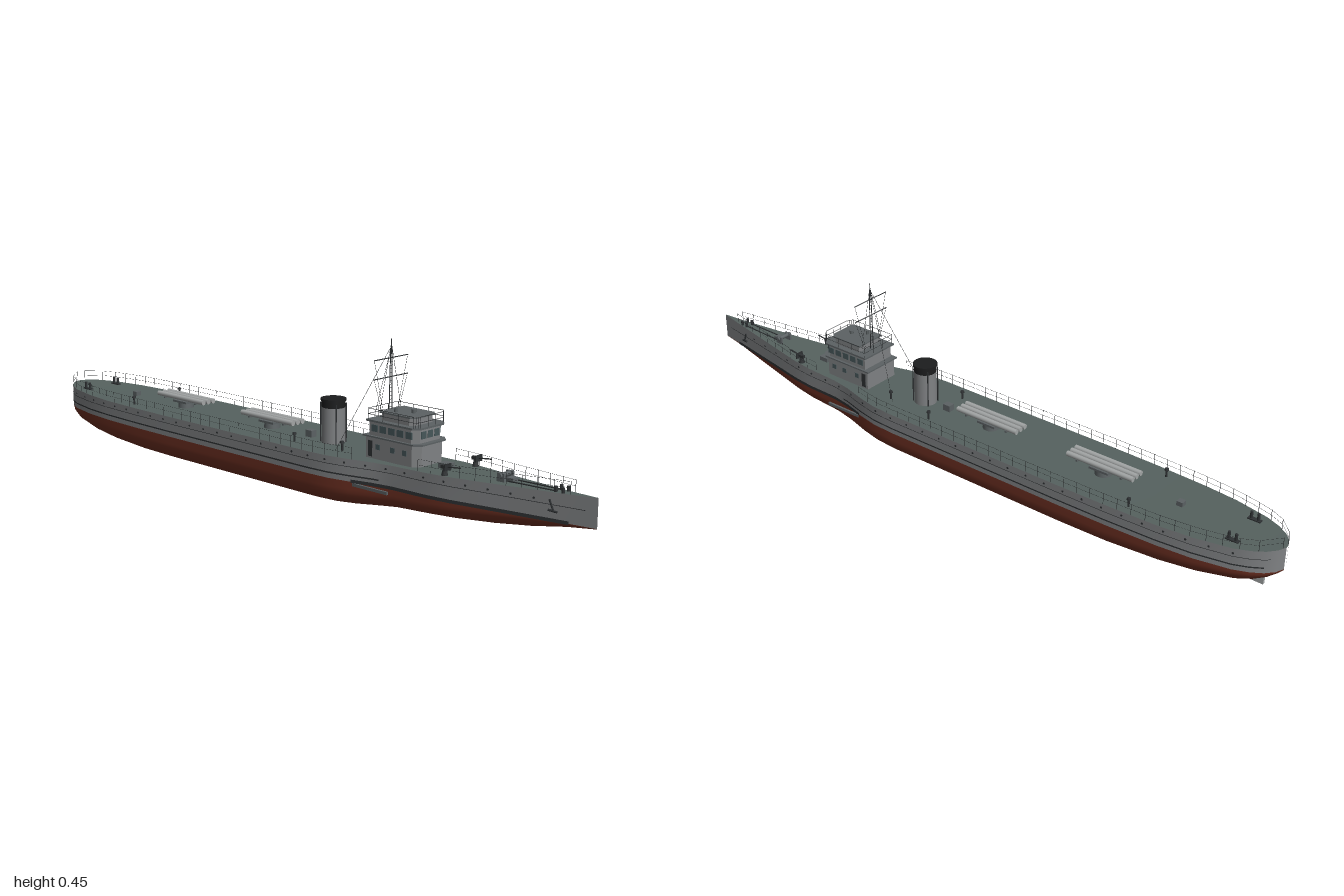
import * as THREE from 'three';
import { mergeGeometries } from 'three/addons/utils/BufferGeometryUtils.js';

const mat = (name, color, side = THREE.FrontSide) => {
  const m = new THREE.MeshStandardMaterial({ color, side });
  m.name = name;
  return m;
};

// Hull stations: x, half beam, keel height, deck height, fullness of the section
const STATIONS = [
  [-1, 0.004, 0.076, 0.145, 2], [-0.99, 0.028, 0.068, 0.145, 2], [-0.97, 0.05, 0.052, 0.144, 2],
  [-0.94, 0.069, 0.037, 0.143, 2.1], [-0.9, 0.086, 0.025, 0.142, 2.2], [-0.8, 0.107, 0.011, 0.141, 2.5],
  [-0.7, 0.117, 0.005, 0.14, 2.9], [-0.55, 0.123, 0.001, 0.14, 3.4], [-0.4, 0.125, 0, 0.14, 3.5],
  [0.18, 0.125, 0, 0.14, 3.5], [0.25, 0.121, 0.002, 0.14, 3.5], [0.31, 0.109, 0.007, 0.14, 3.6],
  [0.38, 0.09, 0.015, 0.14, 3.8], [0.44, 0.08, 0.022, 0.14, 4], [0.55, 0.077, 0.027, 0.142, 3.6],
  [0.62, 0.069, 0.029, 0.143, 3], [0.72, 0.05, 0.036, 0.145, 2.4], [0.82, 0.032, 0.049, 0.148, 2],
  [0.92, 0.014, 0.068, 0.151, 1.8], [1, 0.0005, 0.079, 0.155, 1.8],
];
const WATER = 0.08;

function station(x) {
  let i = 1;
  while (i < STATIONS.length - 1 && STATIONS[i][0] < x) i++;
  const a = STATIONS[i - 1], b = STATIONS[i];
  const t = THREE.MathUtils.clamp((x - a[0]) / (b[0] - a[0]), 0, 1);
  const [, w, keel, deck, n] = a.map((v, k) => v + (b[k] - v) * t);
  return { w, keel, deck, n };
}

// Skin over cross-sections; section(x) returns [z, y] points
function loft(section, x0 = -1, x1 = 1) {
  const xs = [x0, ...STATIONS.map((s) => s[0]).filter((x) => x > x0 && x < x1), x1];
  const pos = [], index = [];
  let n = 0;
  xs.forEach((x, i) => {
    const pts = section(x);
    n = pts.length;
    pts.forEach(([z, y]) => pos.push(x, y, z));
    if (i) for (let j = 0; j < n - 1; j++) {
      const a = (i - 1) * n + j, b = i * n + j;
      index.push(a, a + 1, b, b, a + 1, b + 1);
    }
  });
  const g = new THREE.BufferGeometry();
  g.setAttribute('position', new THREE.Float32BufferAttribute(pos, 3));
  g.setIndex(index);
  g.computeVertexNormals();
  return g;
}

function rodGeo(a, b, r, sides = 5) {
  const A = new THREE.Vector3(...a), d = new THREE.Vector3(...b).sub(A);
  const g = new THREE.CylinderGeometry(r, r, d.length(), sides);
  g.applyQuaternion(new THREE.Quaternion().setFromUnitVectors(new THREE.Vector3(0, 1, 0), d.clone().normalize()));
  return g.translate(...A.addScaledVector(d, 0.5).toArray());
}
const boxGeo = (x, y, z, w, h, d) => new THREE.BoxGeometry(w, h, d).translate(x, y, z);
const cylGeo = (x, y, z, r0, r1, h, s = 16) => new THREE.CylinderGeometry(r1, r0, h, s).translate(x, y + h / 2, z);

export function createModel() {
  const ship = new THREE.Group();
  ship.name = 'ship';
  const grey = mat('hull grey', 0x808284), red = mat('bottom red', 0x6e3022), deckM = mat('deck green grey', 0x56625f);
  const dark = mat('dark metal', 0x2e3133), glass = mat('window glass', 0x46575a), light = mat('light grey', 0xa3a6a6);
  const mid = mat('fittings grey', 0x5c6264), black = mat('funnel black', 0x1c1d1e);
  const add = (name, material, ...geos) => {
    const mesh = new THREE.Mesh(geos.length > 1 ? mergeGeometries(geos) : geos[0], material);
    mesh.name = name;
    ship.add(mesh);
    return mesh;
  };
  const sides = [1, -1];

  // Hull shell and deck
  add('hullBottom', red, loft((x) => {
    const { w, keel, n } = station(x), pts = [];
    for (let j = 0; j <= 28; j++) {
      const a = (j / 28) * Math.PI, c = Math.cos(a), e = 2 / n;
      pts.push([w * Math.sign(c) * Math.abs(c) ** e, WATER - (WATER - keel) * Math.abs(Math.sin(a)) ** e]);
    }
    return pts;
  }));
  // Strip on one side of the hull, standing off slightly
  const strip = (s, y0, y1, off) => (x) => {
    const { w, deck } = station(x);
    const p = [[s * (w + off), Math.min(y1, deck)], [s * (w + off), y0]];
    return s > 0 ? p : p.reverse();
  };
  add('hullSides', grey, ...sides.map((s) => loft(strip(s, WATER, 1, 0))));
  add('deck', deckM, loft((x) => { const { w, deck } = station(x); return [[-w, deck], [w, deck]]; }));
  add('rubbingStrakes', dark, ...sides.flatMap((s) => [
    loft(strip(s, 0.094, 0.098, 0.0015), -0.97, 0.4), loft(strip(s, 0.119, 0.1205, 0.0012), -0.98, 0.97)]));
  add('bootStripe', dark, ...sides.map((s) => loft(strip(s, 0.077, 0.086, 0.0012), 0.32, 0.93)));

  // Portholes along the sides
  const holes = [];
  for (let x = -0.9; x < 0.85; x += 0.06) for (const s of sides) {
    const slope = Math.atan2(station(x + 0.01).w - station(x - 0.01).w, 0.02);
    holes.push(new THREE.CylinderGeometry(0.003, 0.003, 0.003, 8).rotateX(Math.PI / 2)
      .rotateY(-s * slope).translate(x, 0.129, s * station(x).w));
  }
  add('portholes', dark, ...holes);

  // Projecting fins at the hull shoulder, rudder, propeller shafts
  add('shoulderFins', mid, ...sides.map((s) => boxGeo(0.385, 0.073, s * 0.104, 0.12, 0.008, 0.006)));
  add('rudder', light, boxGeo(-0.913, 0.027, 0, 0.075, 0.034, 0.008));

  // Deck railings: posts and two wires on each side
  const rails = [];
  const railing = (x0, x1, count) => sides.forEach((s) => {
    let last = null;
    for (let i = 0; i <= count; i++) {
      const x = x0 + ((x1 - x0) * i) / count, { w, deck } = station(x);
      const z = s * Math.max(w - 0.002, 0.001);
      rails.push(rodGeo([x, deck, z], [x, deck + 0.032, z], 0.0007, 4));
      if (last) for (const h of [0.016, 0.031])
        rails.push(rodGeo([last[0], last[1] + h, last[2]], [x, deck + h, z], 0.0004, 3));
      last = [x, deck, z];
    }
  });
  railing(-0.995, 0.32, 32);
  railing(0.52, 0.93, 10);
  add('deckRailings', dark, ...rails);

  // Bridge house
  const house = (x0, x1, y0, y1, half, r) => {
    const s = new THREE.Shape();
    s.moveTo(x0, -half).lineTo(x1 - r, -half).lineTo(x1, -half + r).lineTo(x1, half - r).lineTo(x1 - r, half).lineTo(x0, half);
    return new THREE.ExtrudeGeometry(s, { depth: y1 - y0, bevelEnabled: false }).rotateX(-Math.PI / 2).translate(0, y0, 0);
  };
  add('bridgeHouse', grey, house(0.328, 0.502, 0.138, 0.197, 0.058, 0.018), house(0.338, 0.495, 0.2, 0.238, 0.056, 0.016),
    house(0.37, 0.475, 0.243, 0.262, 0.045, 0.012));
  add('bridgeDecks', mid, house(0.32, 0.51, 0.197, 0.201, 0.063, 0.018), house(0.33, 0.503, 0.238, 0.243, 0.062, 0.016),
    house(0.365, 0.48, 0.262, 0.266, 0.048, 0.012));
  const panes = [-0.026, 0, 0.026].map((z) => boxGeo(0.495, 0.221, z, 0.003, 0.019, 0.019));
  for (const s of sides) {
    for (let i = 0; i < 5; i++) panes.push(boxGeo(0.356 + i * 0.029, 0.221, s * 0.056, 0.021, 0.018, 0.003));
    for (const x of [0.37, 0.42, 0.46]) panes.push(boxGeo(x, 0.173, s * 0.058, 0.014, 0.014, 0.003));
  }
  add('bridgeWindows', glass, ...panes);
  add('bridgeDoors', dark, ...sides.map((s) => boxGeo(0.343, 0.166, s * 0.058, 0.014, 0.042, 0.003)));
  // Guard rail around the bridge roof
  const corner = [[0.335, -0.059], [0.49, -0.059], [0.5, -0.045], [0.5, 0.045], [0.49, 0.059], [0.335, 0.059]];
  const guard = [];
  corner.forEach(([x, z], i) => {
    const [x2, z2] = corner[(i + 1) % 6];
    for (let k = 0; k < 3; k++) {
      const px = x + ((x2 - x) * k) / 3, pz = z + ((z2 - z) * k) / 3;
      guard.push(rodGeo([px, 0.242, pz], [px, 0.272, pz], 0.0008, 4));
    }
    for (const y of [0.257, 0.272]) guard.push(rodGeo([x, y, z], [x2, y, z2], 0.0007, 4));
  });
  add('bridgeRailing', dark, ...guard);
  add('searchlight', mid, cylGeo(0.44, 0.266, 0, 0.006, 0.006, 0.01, 10), cylGeo(0.4, 0.266, 0.025, 0.004, 0.004, 0.012, 8));

  // Ladder mast, yards and rigging
  const mast = [rodGeo([0.36, 0.41, 0], [0.36, 0.45, 0], 0.0012)];
  for (const s of sides) mast.push(rodGeo([0.36, 0.2, s * 0.0065], [0.36, 0.425, s * 0.003], 0.0013));
  for (let y = 0.25; y < 0.42; y += 0.01) mast.push(rodGeo([0.36, y, -0.006], [0.36, y, 0.006], 0.0007, 4));
  for (const y of [0.35, 0.4]) mast.push(rodGeo([0.36, y, -0.066], [0.36, y, 0.066], 0.0014));
  add('mast', dark, ...mast);
  add('rigging', dark, ...sides.flatMap((s) => [
    rodGeo([0.36, 0.44, 0], [0.36, 0.262, s * 0.042], 0.0006, 3),
    rodGeo([0.36, 0.4, s * 0.065], [0.36, 0.25, s * 0.026], 0.0005, 3),
    rodGeo([0.36, 0.35, s * 0.065], [0.36, 0.25, s * 0.03], 0.0005, 3),
    rodGeo([0.36, 0.43, 0], [0.225, 0.14, s * 0.065], 0.0006, 3)]));

  // Funnel with cap, bands and steam pipes
  add('funnel', grey, cylGeo(0.155, 0.138, 0, 0.033, 0.032, 0.1, 24));
  add('funnelTop', black, cylGeo(0.155, 0.238, 0, 0.032, 0.032, 0.018, 24), cylGeo(0.155, 0.256, 0, 0.035, 0.035, 0.006, 24));
  add('funnelPipes', dark, ...[0.6, 2.5, 3.8, 5.6].map((a) => {
    const x = 0.155 + 0.035 * Math.cos(a), z = 0.035 * Math.sin(a);
    return rodGeo([x, 0.14, z], [x, 0.25, z], 0.0018, 6);
  }));

  // Triple torpedo tube mounts
  for (const x of [-0.462, -0.085]) {
    add('tubeMount', mid, cylGeo(x, 0.139, 0, 0.024, 0.022, 0.018, 20), boxGeo(x, 0.159, 0, 0.06, 0.006, 0.052),
      ...[-0.07, 0.07].map((d) => boxGeo(x + d, 0.163, 0, 0.006, 0.005, 0.052)));
    add('torpedoTubes', light, ...[-0.019, 0, 0.019].map((z) => rodGeo([x - 0.104, 0.171, z], [x + 0.104, 0.171, z], 0.0075, 12)));
  }

  // Forward light guns
  for (const s of sides) {
    const z = s * 0.062, y = 0.142;
    add('gun', dark, cylGeo(0.595, y, z, 0.009, 0.005, 0.018, 10), boxGeo(0.595, y + 0.022, z, 0.02, 0.009, 0.009),
      rodGeo([0.6, y + 0.023, z], [0.645, y + 0.028, z], 0.0018, 6),
      boxGeo(0.604, y + 0.023, z, 0.003, 0.017, 0.026));
  }

  // Windlass, chains, jackstaff and anchors
  add('windlass', mid, rodGeo([0.735, 0.161, -0.026], [0.735, 0.161, 0.026], 0.006, 12),
    ...sides.map((s) => boxGeo(0.735, 0.155, s * 0.018, 0.022, 0.024, 0.006)), boxGeo(0.755, 0.15, 0, 0.02, 0.014, 0.022));
  add('anchorChains', dark, ...sides.map((s) => rodGeo([0.75, 0.149, s * 0.012], [0.89, 0.152, s * 0.01], 0.0018)));
  add('anchors', dark, ...sides.flatMap((s) => [
    rodGeo([0.882, 0.133, s * 0.025], [0.892, 0.107, s * 0.023], 0.0025, 6),
    rodGeo([0.88, 0.107, s * 0.026], [0.902, 0.104, s * 0.021], 0.003, 6)]));

  // Bollards, vents and hatches
  const bollards = [];
  for (const [x, d] of [[-0.88, 0.056], [0.9, 0.011]]) for (const s of sides) for (const e of [-0.01, 0.01])
    bollards.push(cylGeo(x + e, 0.14, s * d, 0.004, 0.004, 0.024, 10));
  add('bollards', dark, ...bollards, ...sides.map((s) => boxGeo(-0.88, 0.143, s * 0.056, 0.036, 0.004, 0.013)));
  add('hatches', mid, boxGeo(-0.7, 0.146, 0, 0.018, 0.014, 0.018), boxGeo(0.07, 0.149, 0, 0.024, 0.02, 0.02),
    boxGeo(0.55, 0.148, 0, 0.03, 0.014, 0.03));
  add('ventilators', dark, ...[[0.08, 0.075], [0.24, 0.055], [-0.6, 0.09]].flatMap(([x, z]) => sides.flatMap((s) => [
    cylGeo(x, 0.139, s * z, 0.003, 0.003, 0.022, 8), cylGeo(x, 0.16, s * z, 0.006, 0.005, 0.006, 10)])));
  return ship;
}
